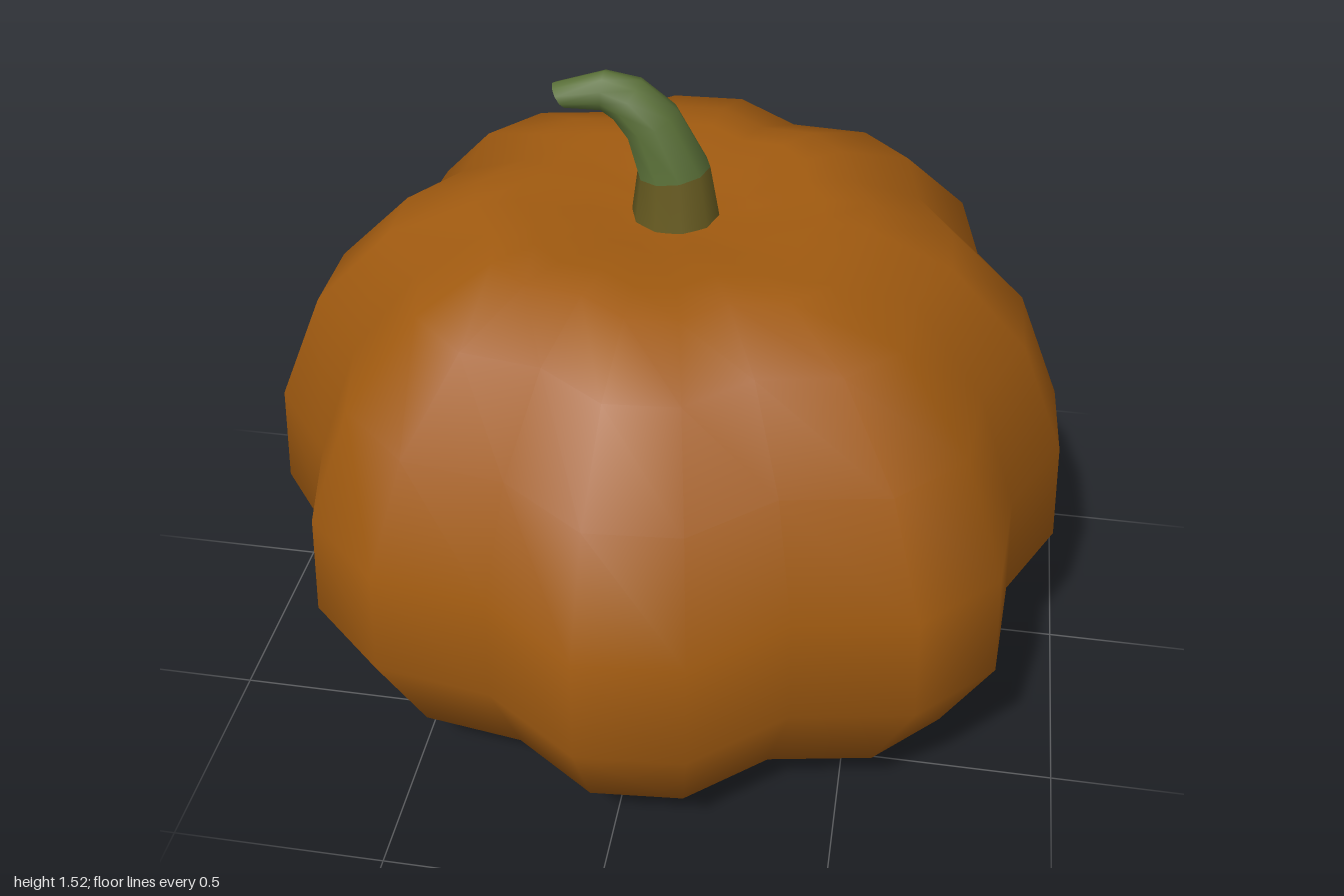
import * as THREE from 'three';
import { mergeVertices } from 'three/addons/utils/BufferGeometryUtils.js';

// Skin a stack of closed rings (arrays of Vector3) with smooth normals
function loft(rings) {
  const n = rings[0].length, index = [];
  for (let i = 0; i < rings.length - 1; i++) {
    for (let j = 0; j < n; j++) {
      const a = i * n + j, b = i * n + (j + 1) % n;
      index.push(a, a + n, b + n, a, b + n, b);
    }
  }
  let geometry = new THREE.BufferGeometry().setFromPoints(rings.flat());
  geometry.setIndex(index);
  geometry = mergeVertices(geometry);
  geometry.computeVertexNormals();
  return geometry;
}

// Widest outline from above: two ridge points and one groove point per lobe
const OUTLINE = [
  [0.11, -1.0], [0.33, -0.83], [0.60, -0.81], [0.77, -0.64], [0.82, -0.37], [0.95, -0.16],
  [0.96, 0.08], [0.85, 0.30], [0.83, 0.58], [0.66, 0.75], [0.39, 0.80], [0.19, 0.97],
  [-0.05, 0.99], [-0.27, 0.84], [-0.54, 0.80], [-0.73, 0.63], [-0.79, 0.37], [-0.96, 0.16],
  [-0.96, -0.08], [-0.81, -0.30], [-0.79, -0.58], [-0.63, -0.77], [-0.36, -0.82], [-0.15, -0.99],
];

// Scale of the outline and its height, from the underside to the crown
const PROFILE = [
  [0, 0.02], [0.22, 0.012], [0.53, 0.04], [0.87, 0.165], [1, 0.415], [0.985, 0.67],
  [0.87, 0.945], [0.68, 1.13], [0.48, 1.205], [0.37, 1.215], [0.2, 1.195], [0, 1.18],
];

export function createModel() {
  const model = new THREE.Group();
  const orange = new THREE.MeshStandardMaterial({ color: 0xa05a10 });
  orange.name = 'orange rind';
  const olive = new THREE.MeshStandardMaterial({ color: 0x665a20 });
  olive.name = 'olive stem base';
  const green = new THREE.MeshStandardMaterial({ color: 0x5a7038 });
  green.name = 'green stem';

  // Ribbed body, very slightly higher at the back
  const bodyRings = PROFILE.map(([s, y]) => OUTLINE.map(([x, z]) => {
    const tilt = y > 0.9 ? -0.02 * z * s : y < 0.1 ? 0.015 * z * s : 0;
    return new THREE.Vector3(x * s, Math.max(0, y + tilt), z * s);
  }));
  const body = new THREE.Mesh(loft(bodyRings), orange);
  body.name = 'body';
  model.add(body);

  // Curved stem: centre x, centre y, radius, lean in degrees
  const sides = 10;
  const stemRings = [
    [0.01, 1.17, 0.105, 0], [0.005, 1.30, 0.085, 8], [-0.045, 1.415, 0.068, 30],
    [-0.1, 1.468, 0.057, 55], [-0.155, 1.485, 0.046, 87], [-0.255, 1.465, 0.032, 120],
  ].map(([cx, cy, r, lean]) => Array.from({ length: sides }, (_, j) => {
    const t = j / sides * Math.PI * 2, a = THREE.MathUtils.degToRad(lean);
    const u = r * Math.cos(t);
    return new THREE.Vector3(cx + u * Math.cos(a), cy + u * Math.sin(a), r * Math.sin(t));
  }));
  const stemGeometry = loft(stemRings);
  const baseCount = sides * 6;
  stemGeometry.addGroup(0, baseCount, 0);
  stemGeometry.addGroup(baseCount, stemGeometry.index.count - baseCount, 1);
  const stem = new THREE.Mesh(stemGeometry, [olive, green]);
  stem.name = 'stem';
  model.add(stem);

  // Flat cut at the end of the stem
  const tip = stemRings.at(-1);
  const centre = new THREE.Vector3(-0.255, 1.465, 0);
  const cut = new THREE.Mesh(loft([tip, tip.map(() => centre)]), green);
  cut.name = 'stemTip';
  model.add(cut);

  return model;
}
